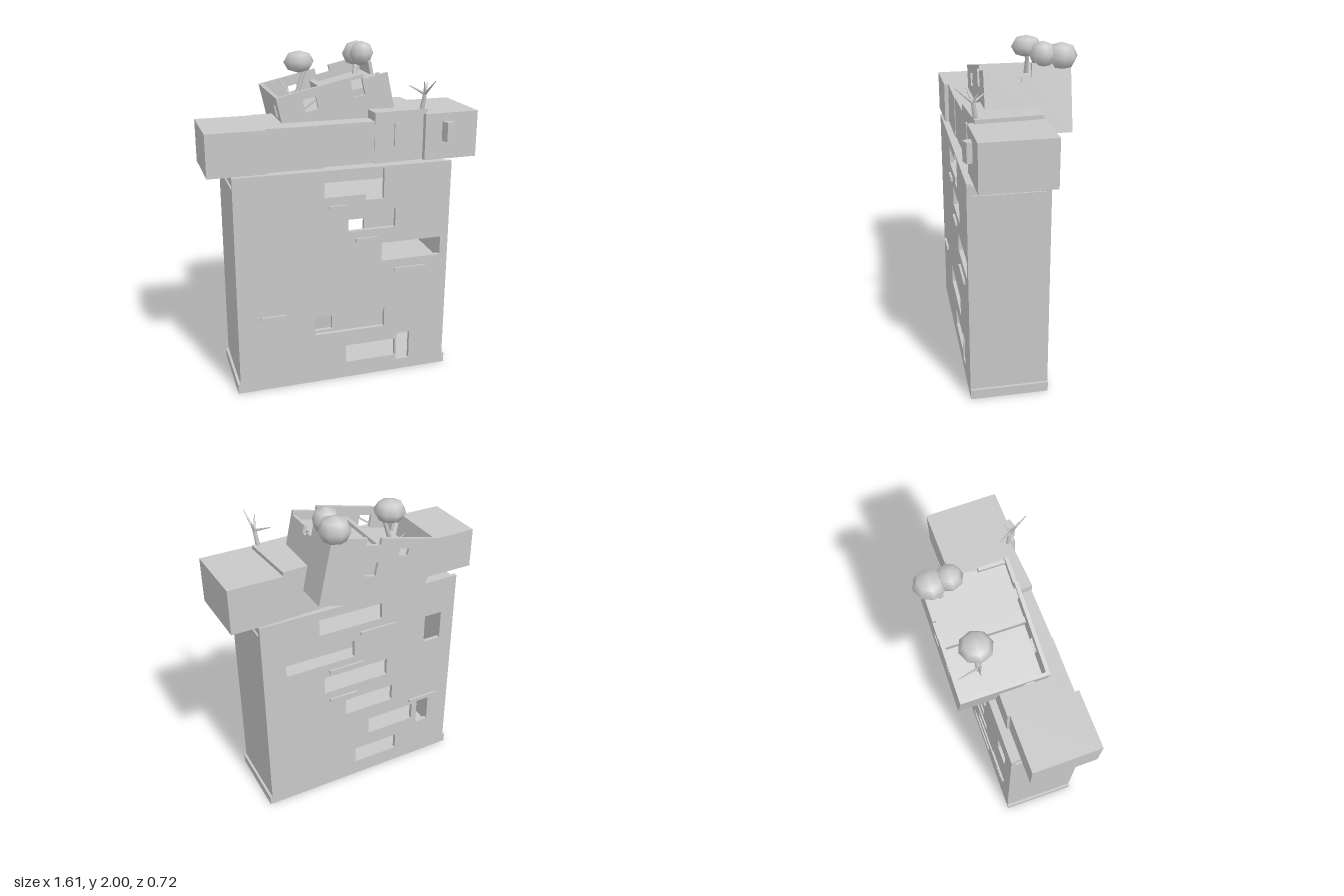
import * as THREE from 'three';

const stone = new THREE.MeshStandardMaterial({ color: 0xc8c8c8 });
stone.name = 'paleStone';

function add(parent, geometry, name) {
  const m = new THREE.Mesh(geometry, stone);
  m.name = name;
  parent.add(m);
  return m;
}

// Box given by its limits
function box(parent, name, x0, x1, y0, y1, z0, z1) {
  const m = add(parent, new THREE.BoxGeometry(x1 - x0, y1 - y0, z1 - z0), name);
  m.position.set((x0 + x1) / 2, (y0 + y1) / 2, (z0 + z1) / 2);
  return m;
}

const rect = (x0, x1, y0, y1) => [[x0, y0], [x1, y0], [x1, y1], [x0, y1]];
const points = (list) => list.map(([x, y]) => new THREE.Vector2(x, y));

// Upright panel with openings, its back at z
function panel(parent, name, outline, holes, z, depth) {
  const shape = new THREE.Shape(points(outline));
  holes.forEach((h) => shape.holes.push(new THREE.Path(points(h))));
  const m = add(parent, new THREE.ExtrudeGeometry(shape, { depth, bevelEnabled: false }), name);
  m.position.z = z;
  return m;
}

// Tapered stick between two points
function stick(parent, name, a, b, r0, r1) {
  const p = new THREE.Vector3(...a), q = new THREE.Vector3(...b);
  const m = add(parent, new THREE.CylinderGeometry(r1, r0, p.distanceTo(q), 6), name);
  m.position.copy(p).lerp(q, 0.5);
  m.quaternion.setFromUnitVectors(new THREE.Vector3(0, 1, 0), q.sub(p).normalize());
}

function crown(parent, x, y, z, r, h) {
  const m = add(parent, new THREE.SphereGeometry(r, 8, 4), 'treeCrown');
  m.scale.y = h / r;
  m.position.set(x, y, z);
}

function buildTower(root) {
  const g = new THREE.Group();
  g.name = 'tower';
  root.add(g);
  const outline = rect(-0.67, 0.635, 0.06, 1.35);
  panel(g, 'frontWall', outline, [
    [[-0.145, 1.19], [0.105, 1.19], [0.105, 1.155], [0.215, 1.155], [0.215, 1.335], [0.105, 1.335], [0.105, 1.295], [-0.145, 1.295]],
    rect(0, 0.29, 0.97, 1.085), rect(0.21, 0.585, 0.76, 0.875), rect(-0.205, 0.235, 0.32, 0.44),
    rect(-0.01, 0.31, 0.105, 0.22), rect(0.32, 0.405, 0.07, 0.255),
  ], 0.295, 0.025);
  panel(g, 'backWall', outline, [
    rect(-0.145, 0.27, 1.19, 1.295), rect(0.04, 0.49, 0.97, 1.085), rect(-0.19, 0.245, 0.76, 0.875),
    rect(-0.235, 0.1, 0.54, 0.655), rect(-0.395, -0.065, 0.32, 0.44), rect(-0.275, 0.03, 0.105, 0.22),
    rect(-0.575, -0.457, 0.92, 1.11), rect(-0.52, -0.433, 0.27, 0.45),
  ], -0.14, 0.025);
  box(g, 'sideWall', 0.61, 0.635, 0.06, 1.28, -0.115, 0.295);
  box(g, 'sideWall', -0.67, -0.645, 0.06, 1.28, -0.115, 0.295);
  box(g, 'plinth', -0.685, 0.65, 0, 0.06, -0.14, 0.32);
  // Floors and roof deck
  for (const y of [0.475, 0.695, 1.125]) box(g, 'floor', -0.645, 0.61, y - 0.012, y + 0.012, -0.115, 0.295);
  box(g, 'roofDeck', -0.66, 0.625, 1.28, 1.333, -0.115, 0.295);
  // Ledges on both faces
  for (const [x0, x1, y] of [[-0.115, -0.01, 1.127], [0.045, 0.175, 0.912], [0.29, 0.5, 0.695], [-0.53, -0.385, 0.476]])
    box(g, 'frontLedge', x0, x1, y - 0.011, y + 0.011, 0.32, 0.333);
  for (const [x0, x1, y] of [[-0.24, 0, 1.127], [-0.015, 0.21, 0.912], [0.025, 0.21, 0.695], [-0.58, -0.37, 0.476]])
    box(g, 'backLedge', x0, x1, y - 0.011, y + 0.011, -0.153, -0.14);
}

function buildTopBlocks(root) {
  const g = new THREE.Group();
  g.name = 'topBlocks';
  root.add(g);
  // x limits, y limits, z limits, slight turn
  for (const [x0, x1, y0, y1, z0, z1, turn] of [
    [-0.805, -0.47, 1.355, 1.603, -0.083, 0.31, 0.01],
    [-0.48, -0.14, 1.355, 1.603, -0.1, 0.283, 0],
    [-0.15, 0.17, 1.36, 1.603, -0.1, 0.276, 0.02],
    [0.155, 0.485, 1.355, 1.653, -0.118, 0.265, 0.07],
    [0.47, 0.8, 1.355, 1.63, -0.135, 0.285, 0.02],
  ]) box(g, 'topBlock', x0, x1, y0, y1, z0, z1).rotation.y = turn;
  box(g, 'blockPlate', 0.29, 0.325, 1.445, 1.582, 0.26, 0.275).rotation.y = 0.07;
  box(g, 'blockHatch', 0.585, 0.64, 1.465, 1.58, 0.27, 0.325).rotation.y = 0.3;
}

function buildTiltedHouse(root) {
  // Local origin is the upper left corner of the house front
  const g = new THREE.Group();
  g.name = 'tiltedHouse';
  g.position.set(-0.38, 1.745, 0);
  g.rotation.z = 0.218;
  root.add(g);
  const L = 0.665, H = -0.39, t = 0.02;
  panel(g, 'houseFront', [[0, H], [L, H], [L, -0.03], [0.52, -0.03], [0.52, 0], [0, 0]],
    [rect(0.145, 0.225, -0.125, -0.05), rect(0.44, 0.51, -0.12, -0.02)], 0.15, t);
  panel(g, 'houseBack', [[0, H], [L, H], [L, 0], [0.45, 0], [0.45, -0.04], [0.36, -0.04], [0.36, 0], [0, 0]],
    [rect(0.35, 0.42, -0.22, -0.14), rect(0.17, 0.23, -0.1, -0.06)], -0.32, t);
  // End walls are drawn along z, then turned to face sideways
  const end = (name, u, outline, holes) => {
    const m = panel(g, name, outline, holes, 0, t);
    m.rotation.y = -Math.PI / 2;
    m.position.x = u;
  };
  end('houseLeftEnd', t, rect(-0.3, 0.15, H, 0), [rect(0.04, 0.1, -0.13, -0.06)]);
  end('houseRightEnd', L, [[-0.3, H], [0.15, H], [0.15, -0.055], [0, -0.055], [0, -0.1],
    [-0.04, -0.1], [-0.04, -0.08], [-0.1, -0.08], [-0.1, 0], [-0.3, 0]], []);
  box(g, 'lowerRoof', t, 0.36, -0.15, -0.13, -0.3, 0.15);
  box(g, 'upperRoof', 0.34, L - t, -0.15, -0.08, -0.3, 0.15);
  box(g, 'roofKerb', 0.31, 0.34, -0.13, -0.06, -0.3, 0.15);
  box(g, 'houseFloor', t, L - t, H + 0.01, H + 0.03, -0.3, 0.15);
  // Window bars
  box(g, 'windowBar', 0.145, 0.225, -0.093, -0.083, 0.155, 0.165).rotation.z = 0.4;
}

function buildTrees(root) {
  const g = new THREE.Group();
  g.name = 'trees';
  root.add(g);
  stick(g, 'trunk', [-0.2, 1.64, -0.16], [-0.125, 1.86, -0.16], 0.017, 0.011);
  crown(g, -0.165, 1.893, -0.16, 0.093, 0.066);
  stick(g, 'trunk', [0.2, 1.74, -0.22], [0.22, 1.88, -0.25], 0.017, 0.012);
  crown(g, 0.232, 1.913, -0.275, 0.092, 0.078);
  crown(g, 0.23, 1.925, -0.17, 0.077, 0.075);
  // Bare trees
  const fork = [0.475, 1.74, 0.255];
  stick(g, 'bareTrunk', [0.46, 1.6, 0.235], fork, 0.016, 0.011);
  for (const tip of [[0.495, 1.83, 0.355], [0.41, 1.78, 0.17], [0.5, 1.8, 0.23], [0.455, 1.82, 0.29]])
    stick(g, 'bareBranch', fork, tip, 0.009, 0.002);
  const low = [-0.2, 1.68, -0.16];
  for (const tip of [[-0.255, 1.76, -0.29], [-0.265, 1.74, -0.17]])
    stick(g, 'bareBranch', low, tip, 0.009, 0.002);
  // Broken prop behind the tower
  stick(g, 'prop', [0.2, 1.4, -0.16], [0.2, 1.56, -0.18], 0.018, 0.018);
}

export function createModel() {
  const root = new THREE.Group();
  root.name = 'crookedTower';
  buildTower(root);
  buildTopBlocks(root);
  buildTiltedHouse(root);
  buildTrees(root);
  return root;
}
